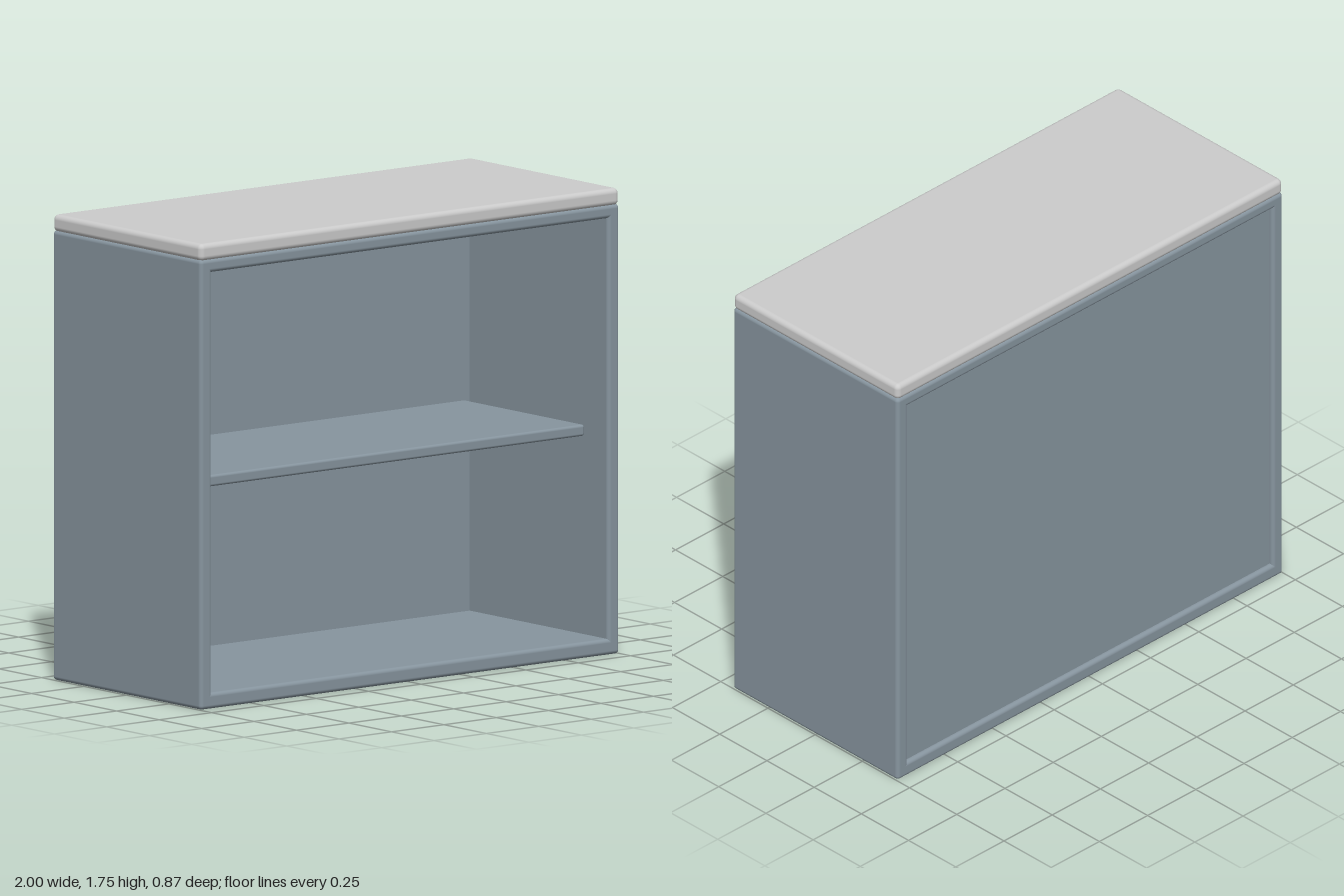
import * as THREE from 'three';
import { RoundedBoxGeometry } from 'three/addons/geometries/RoundedBoxGeometry.js';

const paint = new THREE.MeshStandardMaterial({ color: 0x87959f });
const grey = new THREE.MeshStandardMaterial({ color: 0xcccccc });

// A soft-edged panel given by its lower and upper corners
function panel(name, [x0, y0, z0], [x1, y1, z1], radius, material = paint) {
  const geometry = new RoundedBoxGeometry(x1 - x0, y1 - y0, z1 - z0, 4, radius);
  const mesh = new THREE.Mesh(geometry, material);
  mesh.name = name;
  mesh.position.set((x0 + x1) / 2, (y0 + y1) / 2, (z0 + z1) / 2);
  return mesh;
}

export function createModel() {
  const group = new THREE.Group();
  group.name = 'openCabinet';

  const depth = 0.437; // half depth
  const wall = 0.055;
  const carcassTop = 1.69;

  group.add(
    // Carcass: the panels overlap at the corners
    panel('leftSide', [1 - wall, 0, -depth], [1, carcassTop, depth], 0.015),
    panel('rightSide', [-1, 0, -depth], [-1 + wall, carcassTop, depth], 0.015),
    panel('bottomPanel', [-1, 0, -depth], [1, 0.06, depth], 0.015),
    panel('topPanel', [-1, 1.64, -depth], [1, carcassTop, depth], 0.015),
    // Back, slightly recessed and let into the carcass
    panel('backPanel', [-0.965, 0.03, -0.42], [0.965, 1.665, -0.378], 0.004),
    // Loose shelf, set back from the front
    panel('shelf', [-0.92, 0.812, -0.378], [0.92, 0.855, 0.33], 0.01),
    // Worktop slab
    panel('worktop', [-1, 1.685, -depth], [1, 1.75, depth], 0.02, grey)
  );
  return group;
}
